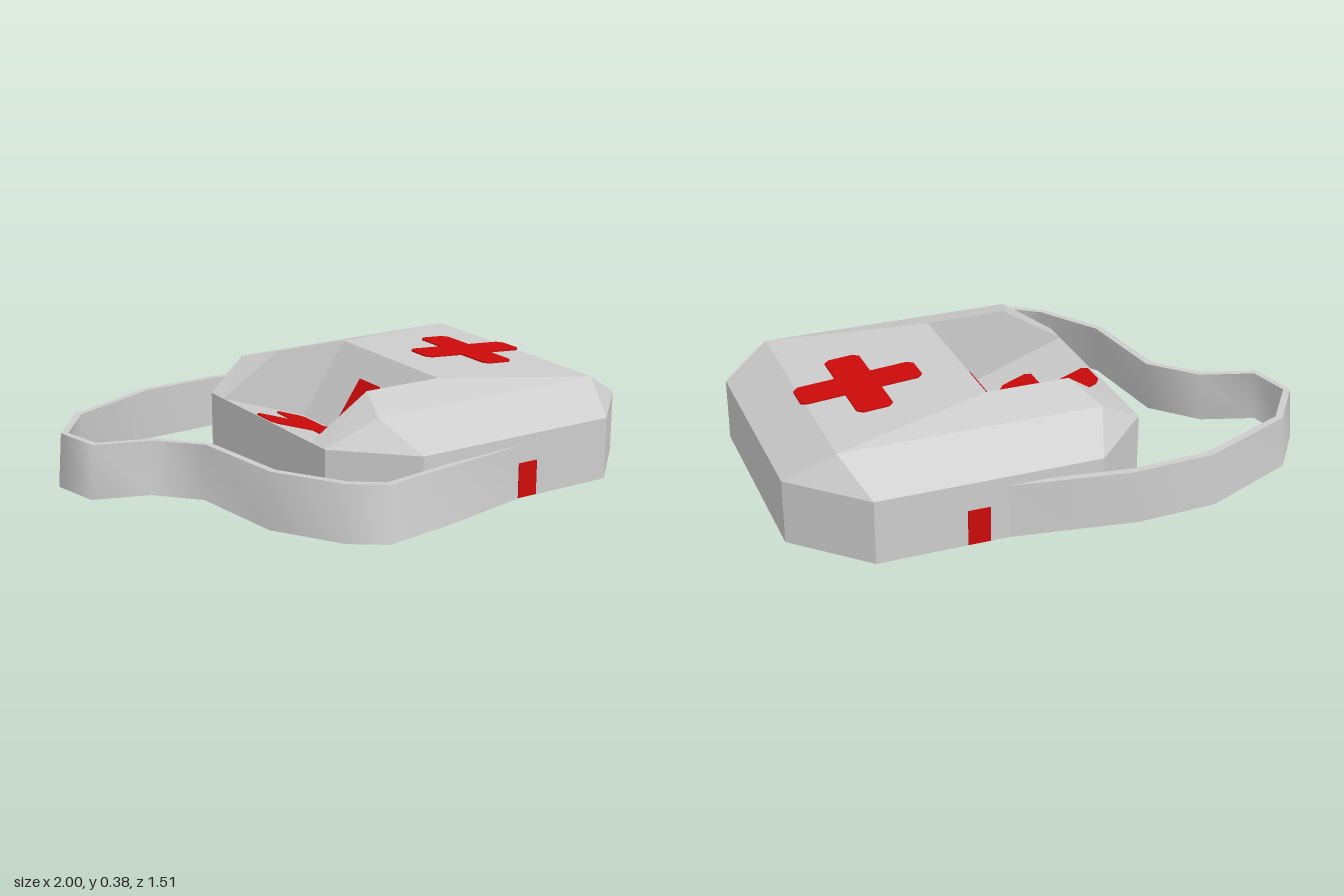
import * as THREE from 'three';

const fabric = new THREE.MeshStandardMaterial({ color: 0xcccccc, side: THREE.DoubleSide });
fabric.name = 'light grey fabric';
const red = new THREE.MeshStandardMaterial({ color: 0xcc0a0a });
red.name = 'red';

const mesh = (name, geometry, material) => {
  const m = new THREE.Mesh(geometry, material);
  m.name = name;
  return m;
};

// Flat-shaded convex faces; each face is a list of [x, y, z] corners
function faces(polys) {
  const pos = [];
  for (const p of polys)
    for (let i = 1; i < p.length - 1; i++) pos.push(...p[0], ...p[i], ...p[i + 1]);
  const g = new THREE.BufferGeometry();
  g.setAttribute('position', new THREE.Float32BufferAttribute(pos, 3));
  g.computeVertexNormals();
  return g;
}

// Mirrors faces front to back, keeping them facing outward
const mirrored = (polys) => polys.concat(
  polys.map((p) => p.map(([x, y, z]) => [x, y, -z]).reverse()));

// Thin plate from an outline in (x, -z), tilted about z
function plate(name, points, x, y, z, tilt) {
  const shape = new THREE.Shape(points.map(([a, b]) => new THREE.Vector2(a, b)));
  const g = new THREE.ExtrudeGeometry(shape, { depth: 0.009, bevelEnabled: false });
  g.translate(0, 0, -0.0045);
  g.rotateX(-Math.PI / 2);
  const m = mesh(name, g, red);
  m.position.set(x, y, z);
  m.rotation.z = tilt;
  return m;
}

// Cross outline with cut arm tips: left reach l, right reach r, height h, half arm width w
function cross(l, r, h, w, cutRight = 0.02) {
  const c = 0.02, k = cutRight;
  return [
    [-l, -w + c], [-l + c, -w], [-w, -w], [-w, -h + c], [-w + c, -h], [w - c, -h], [w, -h + c], [w, -w],
    [r - k, -w], [r, -w + k], [r, w - k], [r - k, w], [w, w], [w, h - c], [w - c, h],
    [-w + c, h], [-w, h - c], [-w, w], [-l + c, w], [-l, w - c],
  ];
}

// Carrying strap: rectangular section swept along a ground path, leaning in at the top
function strapGeometry() {
  const path = [[0.36, -0.685], [0.05, -0.725], [-0.2, -0.757], [-0.5, -0.735], [-0.86, -0.565], [-1, -0.36],
    [-0.955, -0.17], [-0.75, -0.105], [-0.61, 0.04], [-0.555, 0.42], [-0.4, 0.665],
    [-0.275, 0.75], [0, 0.7], [0.36, 0.61]];
  const thick = 0.027, height = 0.2;
  const rings = path.map(([x, z], i) => {
    const a = path[Math.max(i - 1, 0)], b = path[Math.min(i + 1, path.length - 1)];
    const len = Math.hypot(b[0] - a[0], b[1] - a[1]);
    const end = i === 0 || i === path.length - 1;
    const t = end ? 0.004 : thick;
    const nx = (b[1] - a[1]) / len * t, nz = -(b[0] - a[0]) / len * t;
    const lx = end ? 0 : 0.02;
    const lz = end ? 0 : -0.03 * THREE.MathUtils.clamp((z + 0.7) / 1.4, 0, 1);
    return [[x, 0, z], [x + lx, height, z + lz],
      [x + lx + nx, height, z + lz + nz], [x + nx, 0, z + nz]];
  });
  // Each of the four sides is its own smooth strip
  const pos = [], index = [];
  for (let s = 0; s < 4; s++) {
    const base = pos.length / 3;
    rings.forEach((r) => pos.push(...r[s], ...r[(s + 1) % 4]));
    for (let i = 0; i < rings.length - 1; i++) {
      const a = base + i * 2;
      index.push(a, a + 2, a + 1, a + 1, a + 2, a + 3);
    }
  }
  const g = new THREE.BufferGeometry();
  g.setAttribute('position', new THREE.Float32BufferAttribute(pos, 3));
  g.setIndex(index);
  g.computeVertexNormals();
  return g;
}

export function createModel() {
  const model = new THREE.Group();
  model.name = 'medicalBag';
  const bag = new THREE.Group();
  bag.name = 'bag';
  bag.position.set(0.335, 0, -0.045);
  bag.rotation.y = 0.025;
  model.add(bag, mesh('strap', strapGeometry(), fabric));

  const W = 0.655, C = 0.41, E = 0.48, P = 0.315; // wall, chamfer, lid edge, pocket half sizes
  const Y1 = 0.235, Y2 = 0.34, Y3 = 0.385; // wall top, lid edge, lid ridge

  // Upright walls around the chamfered square, open below
  const outline = [[-W, C], [-C, W], [C, W], [W, C], [W, -C], [C, -W], [-C, -W], [-W, -C]];
  bag.add(mesh('walls', faces(outline.map(([x, z], i) => {
    const [u, v] = outline[(i + 1) % 8];
    return [[x, 0, z], [u, 0, v], [u, Y1, v], [x, Y1, z]];
  })), fabric));

  // Lid: bevels, corners and sloping top
  const ridgeL = [-0.42, Y3, P], ridgeR = [-0.11, Y3, P];
  const edgeL = [-E, Y2, E], edgeR = [E, Y2, E];
  const back = ([x, y, z]) => [x, y, -z];
  bag.add(mesh('lid', faces([
    ...mirrored([
      [[-C, Y1, W], [C, Y1, W], edgeR, edgeL],
      [edgeL, edgeR, ridgeR, ridgeL],
      [[C, Y1, W], [W, Y1, C], edgeR],
      [[-W, Y1, C], [-C, Y1, W], edgeL],
      [[-W, Y1, C], edgeL, ridgeL, [-W, Y1, P]],
    ]),
    [ridgeR, edgeR, back(edgeR), back(ridgeR)],
    [[W, Y1, C], [W, Y1, -C], back(edgeR), edgeR],
  ]), fabric));

  // Sunken pocket: floor, sloping end and two side walls
  const lip = [-W, Y1, P], fold = [-0.3, 0.11, P];
  bag.add(mesh('pocket', faces([
    [lip, fold, back(fold), back(lip)],
    [fold, ridgeR, back(ridgeR), back(fold)],
    ...mirrored([[lip, ridgeL, ridgeR, fold]]),
  ]), fabric));

  // Red crosses; the pocket cross bends up the sloping end
  const floorTilt = Math.atan2(fold[1] - Y1, fold[0] + W);
  const endTilt = Math.atan2(Y3 - fold[1], ridgeR[0] - fold[0]);
  bag.add(
    plate('lidCross', cross(0.225, 0.225, 0.22, 0.066), 0.27, 0.357, -0.03, Math.atan2(Y2 - Y3, E + 0.11)),
    plate('pocketCross', cross(0.249, 0.117, 0.215, 0.068, 0), -0.41, 0.15, -0.03, floorTilt),
    plate('pocketCrossArm', [[0, -0.068], [0.22, -0.068], [0.22, 0.068], [0, 0.068]],
      fold[0], fold[1], -0.03, endTilt),
  );

  // Red tabs low on the front and back walls
  for (const s of [1, -1]) {
    const tab = mesh(s > 0 ? 'frontTab' : 'backTab', new THREE.BoxGeometry(0.08, 0.13, 0.0095), red);
    tab.position.set(0.045, 0.068, s * W);
    bag.add(tab);
  }
  return model;
}
